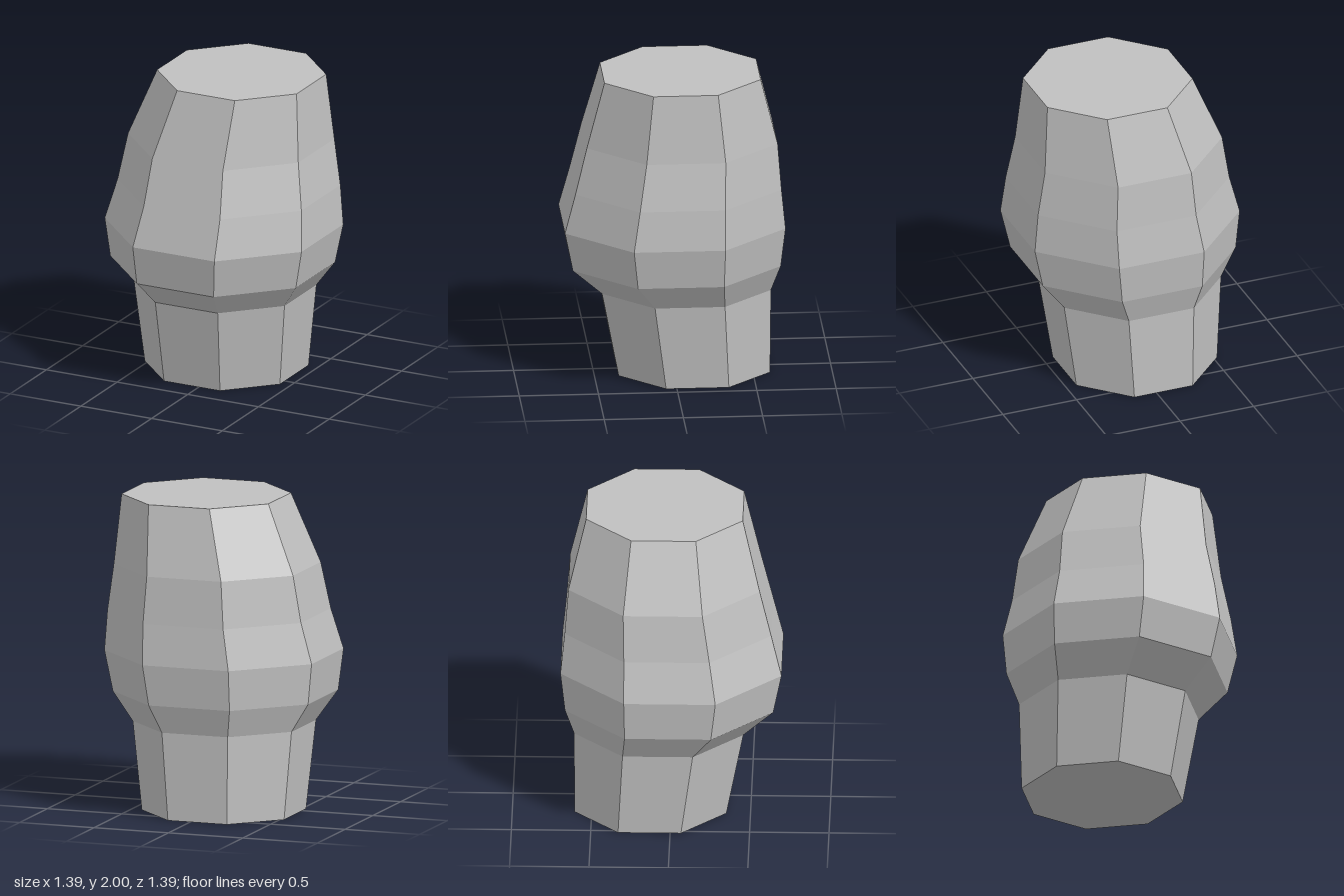
import * as THREE from 'three';

// Cross-sections from bottom to top: height, centre x, centre z, half width across flats
const RINGS = [
  [0.00, -0.048, -0.130, 0.478],
  [0.56, -0.032, -0.078, 0.533],
  [0.74, -0.015, -0.012, 0.656],
  [1.00, 0.000, 0.000, 0.696],
  [1.26, 0.025, -0.020, 0.650],
  [1.56, 0.028, -0.045, 0.602],
  [2.00, 0.102, -0.045, 0.493],
];

export function createModel() {
  const stone = new THREE.MeshStandardMaterial({ color: 0xc0c0c0, flatShading: true });
  stone.name = 'stoneGrey';

  // Octagonal column, one row of vertices per cross-section
  const rows = RINGS.length - 1;
  const grid = new THREE.CylinderGeometry(1, 1, rows, 8, rows, false, Math.PI / 8);
  const pos = grid.attributes.position;
  for (let i = 0; i < pos.count; i++) {
    const [y, cx, cz, half] = RINGS[Math.round(pos.getY(i) + rows / 2)];
    const r = half / Math.cos(Math.PI / 8);
    pos.setXYZ(i, cx + pos.getX(i) * r, y, cz + pos.getZ(i) * r);
  }
  const geometry = grid.toNonIndexed();
  geometry.clearGroups();
  geometry.computeVertexNormals();

  const body = new THREE.Mesh(geometry, stone);
  body.name = 'facetedBody';

  const group = new THREE.Group();
  group.name = 'octagonalStone';
  group.add(body);
  return group;
}
